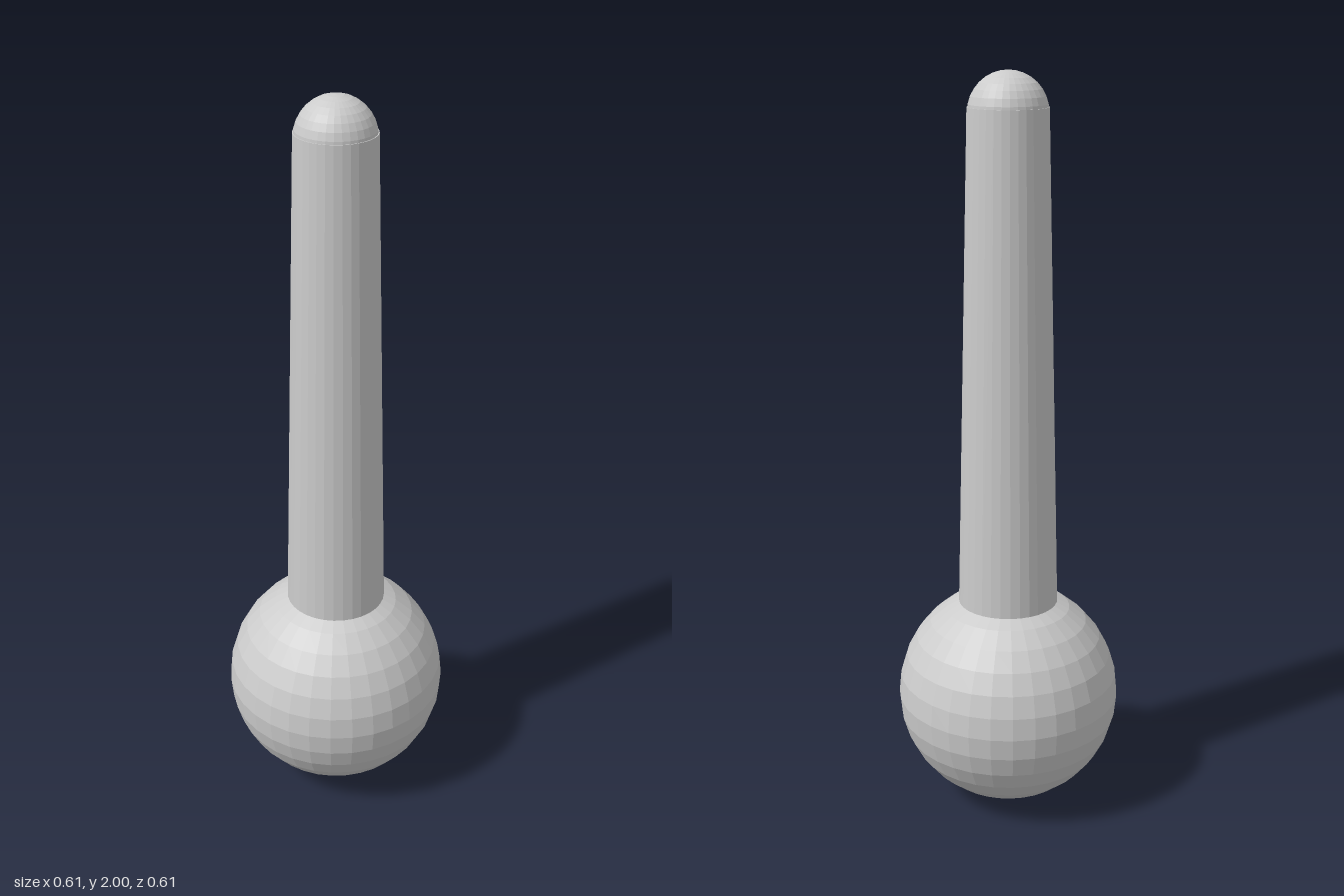
import * as THREE from 'three';

const material = new THREE.MeshStandardMaterial({ color: 0xcccccc, flatShading: true });
const SIDES = 32;

function addPart(group, name, geometry, y) {
  const mesh = new THREE.Mesh(geometry, material);
  mesh.name = name;
  mesh.position.y = y;
  group.add(mesh);
}

export function createModel() {
  const group = new THREE.Group();
  group.name = 'ballEndedRod';

  // Round weight at the bottom
  const ballRadius = 0.306;
  addPart(group, 'ball', new THREE.SphereGeometry(ballRadius, SIDES, 16), ballRadius);

  // Tapered shaft, its foot seated in the ball
  const foot = 0.58, head = 1.91;
  addPart(group, 'shaft', new THREE.CylinderGeometry(0.104, 0.136, head - foot, SIDES), (foot + head) / 2);

  // Rounded tip, sunk into the top of the shaft
  const tipRadius = 0.103;
  addPart(group, 'tip', new THREE.SphereGeometry(tipRadius, SIDES, 16), 2 - tipRadius);

  return group;
}
